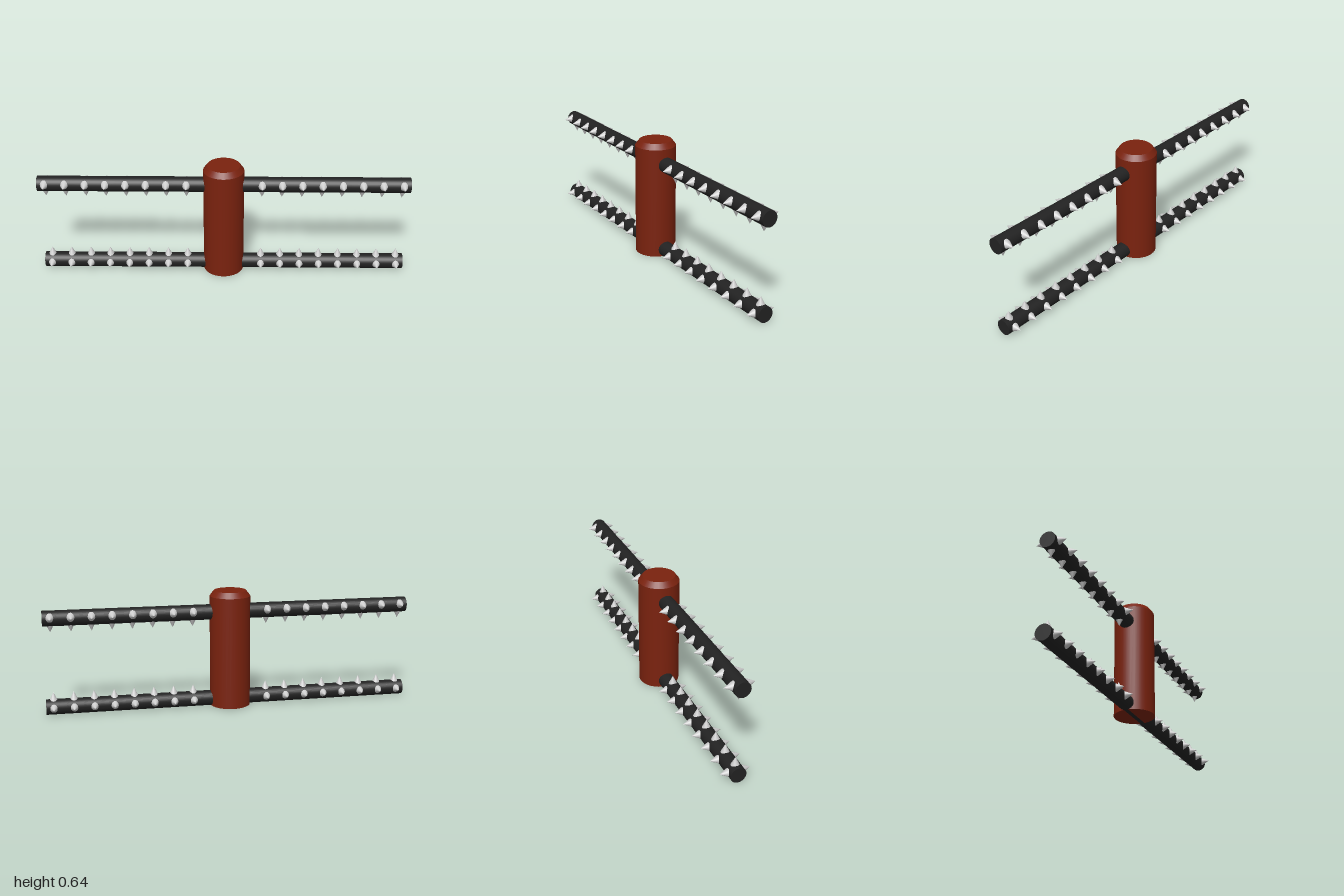
import * as THREE from 'three';

export function createModel() {
  const model = new THREE.Group();
  const mat = (name, color) => {
    const m = new THREE.MeshStandardMaterial({ color });
    m.name = name;
    return m;
  };
  const rust = mat('rust red', 0x7a220e);
  const black = mat('black', 0x222222);
  const steel = mat('pale steel', 0xcccccc);

  const add = (parent, name, geometry, material) => {
    const mesh = new THREE.Mesh(geometry, material);
    mesh.name = name;
    parent.add(mesh);
    return mesh;
  };

  // Upright post with a chamfered top
  const post = new THREE.Group();
  post.name = 'post';
  model.add(post);
  add(post, 'postShaft', new THREE.CylinderGeometry(0.11, 0.11, 0.609, 32, 1).translate(0, 0.3065, 0), rust);
  add(post, 'postChamfer', new THREE.CylinderGeometry(0.088, 0.11, 0.029, 32, 1).translate(0, 0.6255, 0), rust);

  // Spike cone pointing along +y, its base buried inside the bar
  const spikeGeometry = new THREE.ConeGeometry(0.026, 0.053, 20).translate(0, 0.0545, 0);
  const barGeometry = new THREE.CylinderGeometry(0.0415, 0.0415, 2, 32).rotateZ(Math.PI / 2);

  // Spike stations on both sides of the post
  const stations = [];
  for (let i = 0; i < 8; i++) stations.push(-0.96 + i * 0.1085, 0.96 - i * 0.1077);

  // One bar with spikes to the front, the back and the facing bar
  const addBar = (name, y, spikeY, inwardAngle) => {
    const group = new THREE.Group();
    group.name = name;
    group.position.y = y;
    model.add(group);
    add(group, 'bar', barGeometry, black);
    for (const x of stations) {
      for (const angle of [Math.PI / 2, -Math.PI / 2, inwardAngle]) {
        const spike = add(group, 'spike', spikeGeometry, steel);
        spike.position.set(x, spikeY, 0);
        spike.rotation.x = angle;
      }
    }
  };
  addBar('lowerBar', 0.0415, 0, 0);
  addBar('upperBar', 0.525, 0.006, Math.PI);

  return model;
}
